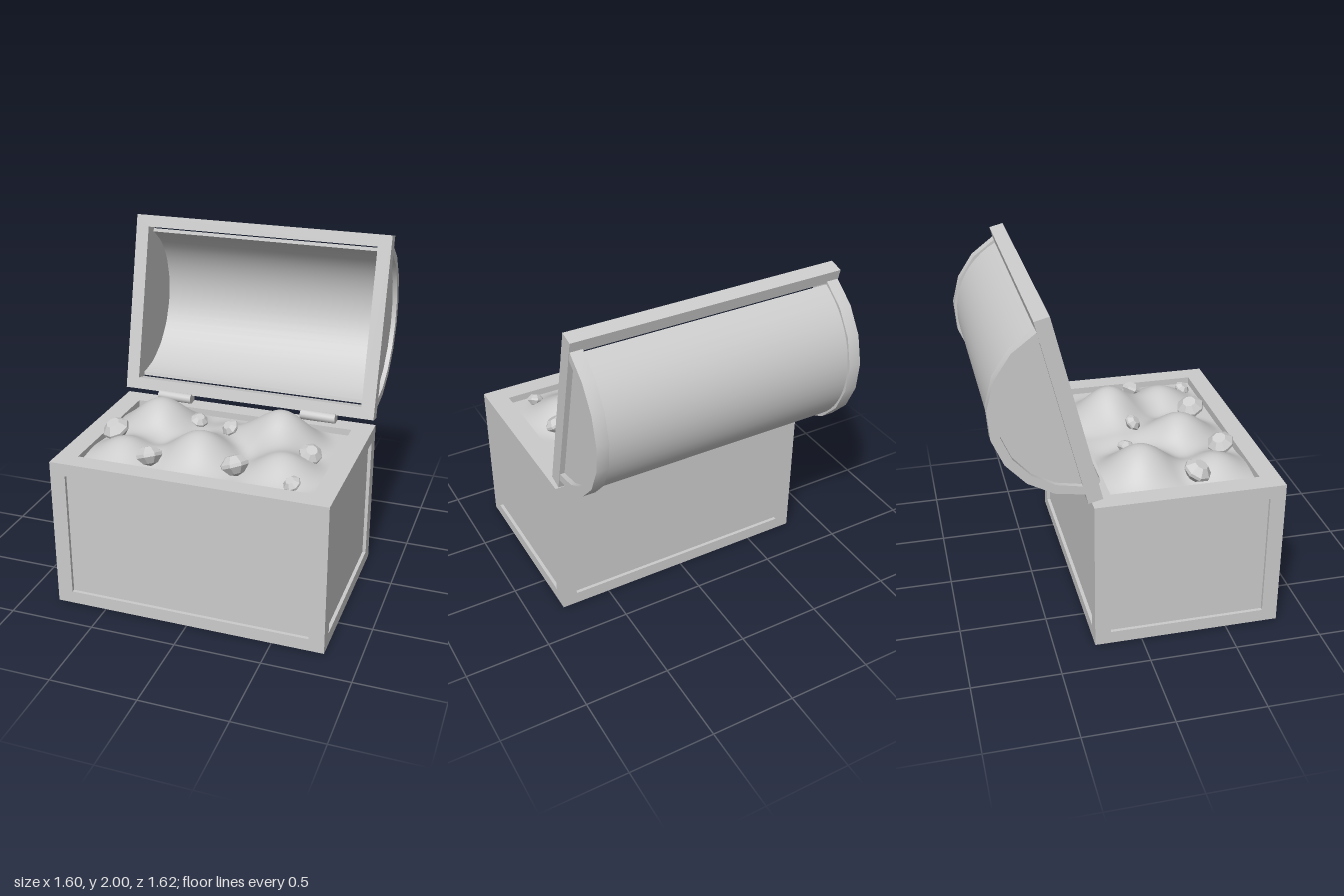
import * as THREE from 'three';
import { toCreasedNormals } from 'three/addons/utils/BufferGeometryUtils.js';

const grey = new THREE.MeshStandardMaterial({ color: 0xcccccc });
const facet = new THREE.MeshStandardMaterial({ color: 0xcccccc, flatShading: true });
const V = (x, y) => new THREE.Vector2(x, y);

function add(parent, name, geometry, x = 0, y = 0, z = 0, material = grey) {
  const mesh = new THREE.Mesh(geometry, material);
  mesh.name = name;
  mesh.position.set(x, y, z);
  parent.add(mesh);
  return mesh;
}

const rect = (w, h) => [V(-w / 2, -h / 2), V(w / 2, -h / 2), V(w / 2, h / 2), V(-w / 2, h / 2)];

// Extrusion centred on its depth
function extrude(points, depth, hole) {
  const shape = new THREE.Shape(points);
  if (hole) shape.holes.push(new THREE.Path(hole));
  const g = new THREE.ExtrudeGeometry(shape, { depth, bevelEnabled: false });
  return g.translate(0, 0, -depth / 2);
}

// Arc of the lid's cross-section, cut off at the top of the rim
const CENTRE = 0.54, DROP = 0.035, RIM = 0.083;
function arch(r, segments) {
  const a0 = Math.asin((RIM + DROP) / r), points = [];
  for (let i = 0; i <= segments; i++) {
    const a = a0 + (Math.PI - 2 * a0) * i / segments;
    points.push(V(CENTRE + r * Math.cos(a), r * Math.sin(a) - DROP));
  }
  return points;
}
const archBand = (outer, inner, n, depth) =>
  toCreasedNormals(extrude([...arch(outer, n), ...arch(inner, n).reverse()], depth), 0.5);

function buildChest() {
  const chest = new THREE.Group();
  chest.name = 'chestBody';
  chest.position.z = 0.27;
  // Hollow walls and floor
  add(chest, 'walls', extrude(rect(1.56, 1.04), 0.9, rect(1.36, 0.85)).rotateX(-Math.PI / 2), 0, 0.45, 0);
  add(chest, 'floor', new THREE.BoxGeometry(1.36, 0.05, 0.85), 0, 0.025, 0);
  // Raised frames around the recessed panels
  for (const s of [1, -1]) {
    add(chest, s > 0 ? 'frontFrame' : 'backFrame',
      extrude(rect(1.6, 0.9), 0.02, rect(1.42, 0.75)), 0, 0.45, s * 0.53);
    add(chest, s > 0 ? 'leftFrame' : 'rightFrame',
      extrude(rect(1.04, 0.9), 0.02, rect(0.9, 0.75)).rotateY(Math.PI / 2), s * 0.79, 0.45, 0);
  }
  return chest;
}

function buildLid() {
  const lid = new THREE.Group();
  lid.name = 'lid';
  // Lid space: x runs from hinge to free edge, y outward, z across the chest
  const s = Math.sin(0.2425), c = Math.cos(0.2425);
  lid.quaternion.setFromRotationMatrix(new THREE.Matrix4().makeBasis(
    new THREE.Vector3(0, c, -s), new THREE.Vector3(0, -s, -c), new THREE.Vector3(-1, 0, 0)));
  lid.position.set(0, 0.95, -0.22);
  const rim = extrude(rect(1.59, 1.08), RIM, rect(1.43, 0.94)).rotateX(-Math.PI / 2).rotateY(Math.PI / 2);
  add(lid, 'lidRim', rim, CENTRE, RIM / 2, 0);
  add(lid, 'barrelTop', archBand(0.477, 0.457, 24, 1.47));
  for (const side of [1, -1]) {
    add(lid, 'endBand', archBand(0.495, 0.445, 8, 0.07), 0, 0, side * 0.757);
    add(lid, 'endPanel', extrude(arch(0.46, 8), 0.05), 0, 0, side * 0.74);
  }
  return lid;
}

// Mounds: x, z, height, radius
const MOUNDS = [
  [0.31, 0.07, 0.2, 0.33], [-0.43, 0.08, 0.18, 0.33], [-0.06, 0.41, 0.16, 0.32],
  [0.43, 0.43, 0.11, 0.28], [-0.48, 0.5, 0.1, 0.27], [0.0, 0.08, 0.05, 0.25],
];
function goldHeight(x, z) {
  let y = 0.86;
  for (const [mx, mz, h, r] of MOUNDS) {
    const d = Math.min(1, Math.hypot(x - mx, z - mz) / r);
    y += h * Math.cos(d * Math.PI / 2) ** 2;
  }
  return y;
}
function buildGold() {
  const g = new THREE.PlaneGeometry(1.36, 0.85, 56, 36).rotateX(-Math.PI / 2).translate(0, 0, 0.265);
  const p = g.attributes.position;
  for (let i = 0; i < p.count; i++) p.setY(i, goldHeight(p.getX(i), p.getZ(i)));
  g.computeVertexNormals();
  return g;
}

// Gems: x, y, z, radius, tilt about x, tilt about z
const GEMS = [
  [-0.6, 0.94, 0.36, 0.08, 0.4, 0.25], [-0.2, 0.92, 0.05, 0.053, 0.3, -0.3],
  [0.03, 0.95, 0.15, 0.052, 0.7, 0.4], [0.55, 0.92, 0.275, 0.066, 0.5, -0.3],
  [-0.29, 0.925, 0.595, 0.078, -0.35, 0.3], [0.2, 0.93, 0.56, 0.082, -0.3, 0.35],
  [0.54, 0.895, 0.61, 0.05, 0.5, 0.3],
];

export function createModel() {
  const model = new THREE.Group();
  model.name = 'treasureChest';
  model.add(buildChest(), buildLid());
  add(model, 'goldPile', buildGold());

  // Faceted gems lying on the gold
  const cut = new THREE.LatheGeometry(
    [V(0, -0.8), V(0.55, -0.6), V(1, -0.12), V(1, 0.12), V(0.5, 0.6), V(0, 0.6)], 8);
  for (const [x, y, z, r, tx, tz] of GEMS) {
    const gem = add(model, 'gem', cut, x, y, z, facet);
    gem.scale.setScalar(r);
    gem.rotation.set(tx, 0, tz);
  }

  // Hinges: barrel and leaf
  for (const side of [1, -1]) {
    const barrel = new THREE.CylinderGeometry(0.03, 0.03, 0.215, 12).rotateZ(Math.PI / 2);
    add(model, 'hingeBarrel', toCreasedNormals(barrel, 0.7), side * 0.46, 0.93, -0.215);
    add(model, 'hingeLeaf', new THREE.BoxGeometry(0.215, 0.05, 0.055), side * 0.46, 0.925, -0.24);
  }
  return model;
}
